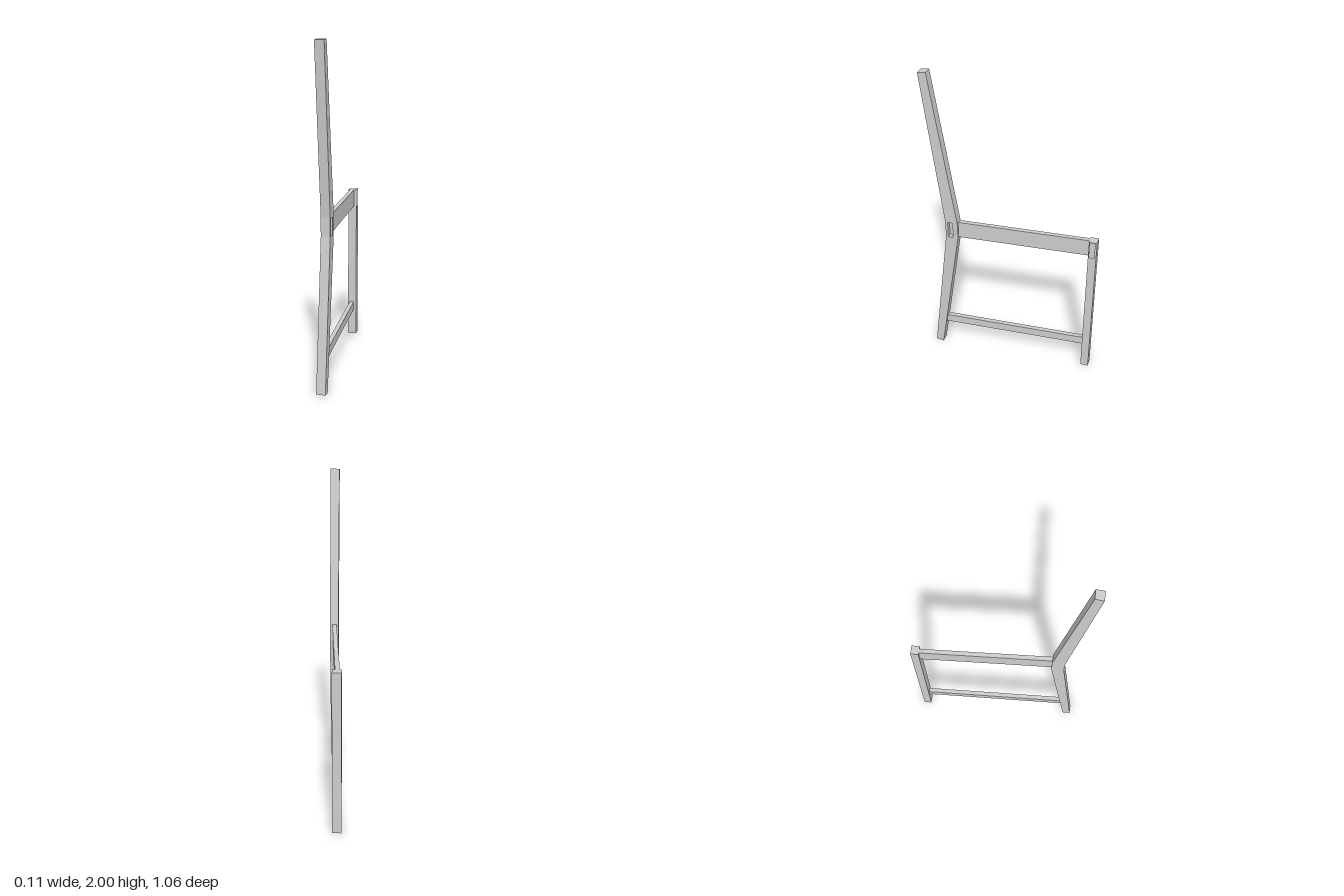
import * as THREE from 'three';

const material = new THREE.MeshStandardMaterial({ color: 0xcccccc, flatShading: true });

// Outline in [z, y], extruded along x from x0 to x1
function sideSlab(points, hole, x0, x1) {
  const toShape = (list) => list.map(([z, y]) => new THREE.Vector2(-z, y));
  const shape = new THREE.Shape(toShape(points));
  if (hole) shape.holes.push(new THREE.Path(toShape(hole)));
  const geo = new THREE.ExtrudeGeometry(shape, { depth: x1 - x0, bevelEnabled: false });
  geo.rotateY(Math.PI / 2).translate(x0, 0, 0);
  return new THREE.Mesh(geo, material);
}

// Post: a solid layer plus a layer pierced by the mortise
function post(name, points, zMin, zMax, x0, x1) {
  const group = new THREE.Group();
  group.name = name;
  const mid = x1 - 0.03;
  const mortise = [[zMin, 0.908], [zMax, 0.908], [zMax, 1.016], [zMin, 1.016]];
  const core = sideSlab(points, null, x0, mid);
  core.name = name + 'Core';
  const face = sideSlab(points, mortise, mid, x1);
  face.name = name + 'MortisedFace';
  group.add(core, face);
  return group;
}

// Plan outline in [x, z], extruded upward from y0 to y1
function rail(name, plan, y0, y1) {
  const shape = new THREE.Shape(plan.map(([x, z]) => new THREE.Vector2(x, -z)));
  const geo = new THREE.ExtrudeGeometry(shape, { depth: y1 - y0, bevelEnabled: false });
  geo.rotateX(-Math.PI / 2).translate(0, y0, 0);
  const mesh = new THREE.Mesh(geo, material);
  mesh.name = name;
  return mesh;
}

export function createModel() {
  const model = new THREE.Group();
  model.name = 'chairSideFrame';

  // Tall post, bent at seat height and tapering towards both ends
  const tall = [
    [0.53, 0.007], [0.48, 0], [0.336, 0.91], [0.336, 1.02],
    [0.48, 2], [0.53, 1.993], [0.415, 1.02], [0.415, 0.91],
  ];
  model.add(post('tallBackPost', tall, 0.368, 0.4, 0, 0.055));

  // Short straight leg
  const short = [[-0.53, 0.007], [-0.48, 0.007], [-0.48, 1.02], [-0.53, 1.02]];
  model.add(post('shortLeg', short, -0.518, -0.486, -0.055, 0));

  // Slanting seat rail and lower stretcher
  model.add(rail('seatRail',
    [[-0.043, -0.481], [-0.016, -0.481], [0.04, 0.34], [0.012, 0.34]], 0.91, 1.02));
  model.add(rail('lowerStretcher',
    [[-0.043, -0.481], [-0.016, -0.481], [0.04, 0.465], [0.012, 0.465]], 0.18, 0.235));

  return model;
}
